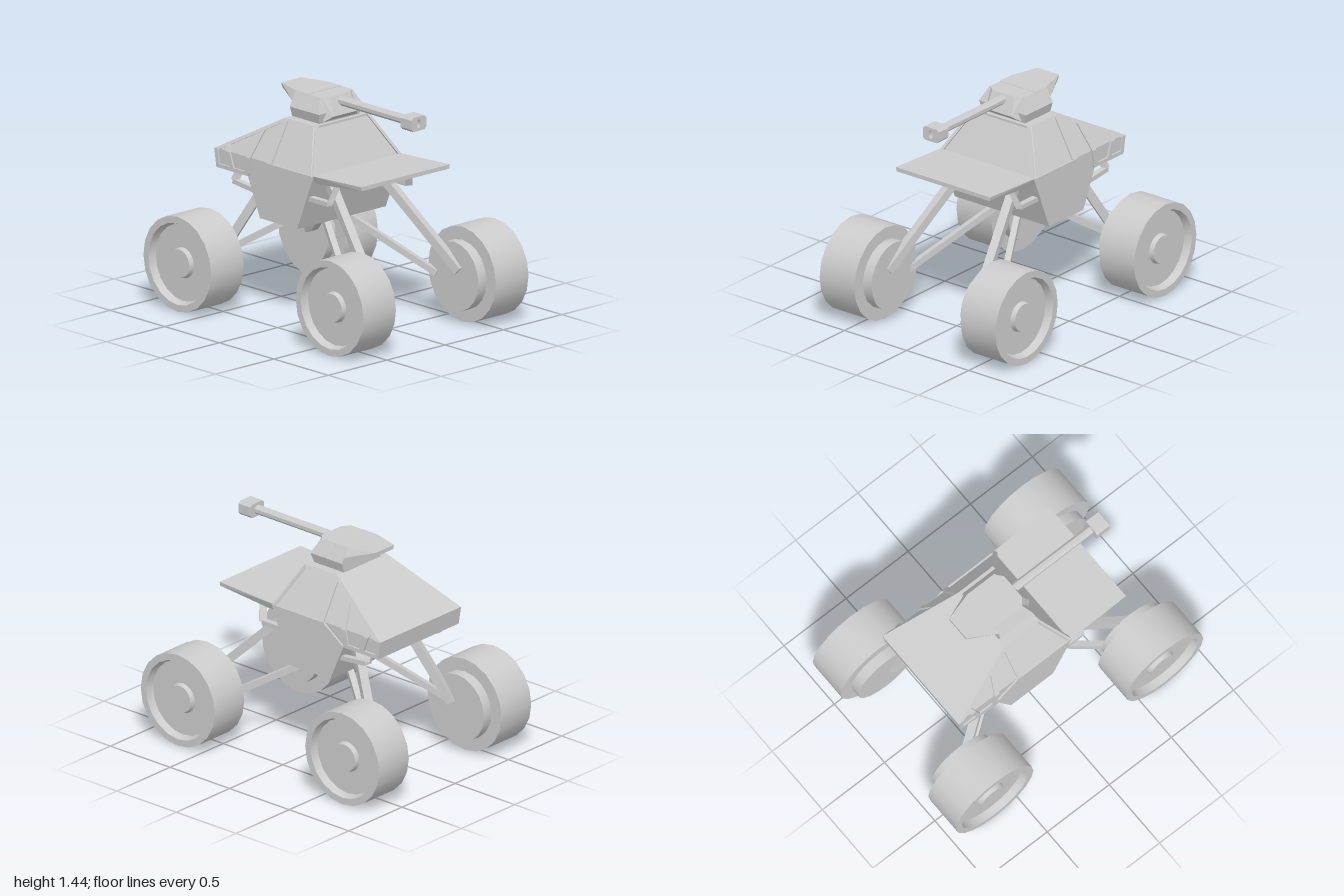
import * as THREE from 'three';
import { toCreasedNormals } from 'three/addons/utils/BufferGeometryUtils.js';
import { ConvexGeometry } from 'three/addons/geometries/ConvexGeometry.js';

const grey = new THREE.MeshStandardMaterial({ color: 0xcccccc });
const V = (x, y, z) => new THREE.Vector3(x, y, z);

export function createModel() {
  const model = new THREE.Group();
  const add = (name, geometry, parent = model) => {
    const mesh = new THREE.Mesh(geometry, grey);
    mesh.name = name;
    parent.add(mesh);
    return mesh;
  };

  // convex solid from points of one half, mirrored across z
  const solid = (name, half) =>
    add(name, new ConvexGeometry(half.flatMap(([x, y, z]) => [V(x, y, z), V(x, y, -z)])));

  // square bar between two points
  const bar = (name, a, b, w, h = w, parent = model) => {
    const mesh = add(name, new THREE.BoxGeometry(w, h, a.distanceTo(b)), parent);
    mesh.position.copy(a).lerp(b, 0.5);
    mesh.lookAt(b);
    return mesh;
  };

  // lower hull and inset cabin
  const inset = 0.012;
  const sideZ = (y) => 0.38 - 0.555 * Math.max(0, y - 1);
  solid('lowerHull', [[-0.4, 0.88], [-0.29, 0.63], [0.05, 0.63], [0.2, 1], [-0.23, 1]].map(([x, y]) => [x, y, 0.38]));
  solid('cabin', [[-0.69, 0.88], [-0.4, 0.88], [-0.71, 1], [-0.22, 1.27], [0.05, 1.27], [0.185, 1]]
    .map(([x, y]) => [x, y, sideZ(y) - inset]));

  // window frames: flat pieces in side elevation, draped over the cabin side
  const frames = [
    [[-0.71, 1], [-0.22, 1.27], [-0.22, 1.245], [-0.665, 1]],
    [[-0.22, 1.27], [0.06, 1.27], [0.06, 1.255], [-0.22, 1.255]],
    [[-0.235, 1.26], [-0.19, 1.27], [-0.19, 1], [-0.23, 1]],
    [[0.06, 1.27], [0.2, 1], [0.182, 1], [0.043, 1.27]],
    [[-0.375, 1.18], [-0.345, 1.195], [-0.383, 1], [-0.418, 1]],
    [[-0.418, 1], [-0.383, 1], [-0.4, 0.89], [-0.44, 0.89]],
    [[-0.63, 1.035], [-0.595, 1.055], [-0.57, 1], [-0.605, 1]],
    [[-0.605, 1], [-0.57, 1], [-0.53, 0.89], [-0.565, 0.89]],
    [[-0.69, 0.88], [-0.4, 0.88], [-0.39, 0.905], [-0.685, 0.905]],
    [[-0.71, 1], [-0.69, 0.88], [-0.665, 0.88], [-0.68, 1]],
  ];
  const windowFrames = new THREE.Group();
  windowFrames.name = 'windowFrames';
  model.add(windowFrames);
  for (const side of [1, -1]) {
    for (const frame of frames) {
      const shape = new THREE.Shape(frame.map(([x, y]) => new THREE.Vector2(x, y)));
      const g = new THREE.ExtrudeGeometry(shape, { depth: 2 * inset, bevelEnabled: false });
      if (side < 0) g.translate(0, 0, -2 * inset);
      const p = g.attributes.position;
      for (let i = 0; i < p.count; i++) {
        p.setZ(i, p.getZ(i) + side * (sideZ(p.getY(i)) - 2 * inset));
      }
      g.computeVertexNormals();
      add('windowFrame', g, windowFrames);
    }
    bar('windscreenPillar', V(0.047, 1.262, side * 0.222), V(0.185, 0.99, side * 0.37), 0.022, 0.022, windowFrames);
  }
  bar('windscreenHeader', V(0.046, 1.262, -0.225), V(0.046, 1.262, 0.225), 0.022, 0.016, windowFrames);

  // flat front deck
  solid('frontDeck', [[0.16, 0.96, 0.36], [0.19, 1.005, 0.38], [0.637, 1.027, 0.38], [0.637, 1, 0.375], [0.25, 0.957, 0.36]]);

  // turret, with a rear overhang
  solid('turret', [[-0.22, 1.27, 0.17], [0.03, 1.27, 0.17], [-0.22, 1.335, 0.19], [0.045, 1.335, 0.19],
    [-0.22, 1.43, 0.14], [0.0, 1.43, 0.14]]);
  solid('turretOverhang', [[-0.41, 1.432, 0.085], [-0.41, 1.405, 0.08], [-0.22, 1.432, 0.14], [-0.22, 1.37, 0.17],
    [-0.1, 1.432, 0.14], [-0.1, 1.37, 0.14]]);
  solid('gunMantlet', [[0, 1.43, 0.13], [0.035, 1.43, 0.09], [0.085, 1.315, 0.1], [0.04, 1.28, 0.14], [0, 1.28, 0.16]]);

  // gun barrel and slotted muzzle
  const barrel = new THREE.CylinderGeometry(0.03, 0.03, 0.64, 8, 1).toNonIndexed();
  barrel.rotateY(Math.PI / 8).rotateZ(-Math.PI / 2).computeVertexNormals();
  add('gunBarrel', barrel).position.set(0.35, 1.393, 0);
  const muzzle = new THREE.Shape([[-0.063, -0.03], [-0.048, -0.046], [0.048, -0.046], [0.063, -0.03],
    [0.063, 0.03], [0.048, 0.046], [-0.048, 0.046], [-0.063, 0.03]].map(([x, y]) => new THREE.Vector2(x, y)));
  const slot = new THREE.Path();
  slot.absellipse(0, 0, 0.016, 0.028, 0, Math.PI * 2);
  muzzle.holes.push(slot);
  const muzzleGeometry = new THREE.ExtrudeGeometry(muzzle, { depth: 0.1, bevelEnabled: false, curveSegments: 8 });
  muzzleGeometry.rotateY(Math.PI / 2);
  add('muzzle', muzzleGeometry).position.set(0.66, 1.393, 0);

  // wheel profile: inner drum, tyre, recessed rim and hub cap
  const profile = [[0, 0], [0.225, 0], [0.225, 0.07], [0.31, 0.07], [0.31, 0.35], [0.265, 0.35],
    [0.25, 0.3], [0.1, 0.3], [0.09, 0.33], [0, 0.33]].map(([r, h]) => new THREE.Vector2(r, h));
  const wheel = toCreasedNormals(new THREE.LatheGeometry(profile, 20), 0.6);

  for (const side of [1, -1]) {
    for (const end of [1, -1]) {
      const front = end > 0;
      const place = front ? 'front' : 'rear';
      const w = add(place + 'Wheel', wheel);
      w.rotation.x = side * Math.PI / 2;
      w.position.set(front ? 0.69 : -0.69, 0.312, side * (front && side > 0 ? 0.35 : 0.365));

      // suspension: heavy upper arm and thin lower link
      const top = front ? V(0.15, 0.94, side * 0.2) : V(-0.33, 0.92, side * 0.2);
      const foot = front ? V(0.74, 0.36, side * 0.365) : V(-0.645, 0.34, side * 0.365);
      bar(place + 'UpperArm', top, foot, 0.055);
      const low = front ? V(-0.02, 0.64, side * 0.08) : V(-0.18, 0.645, side * 0.1);
      const lowFoot = front ? V(0.53, 0.3, side * 0.37) : V(-0.6, 0.355, side * 0.37);
      bar(place + 'LowerLink', low, lowFoot, 0.04);

      // bent bracket under the deck or tail
      const path = front
        ? [V(0.345, 0.97, side * 0.3), V(0.305, 0.84, side * 0.34), V(0.13, 0.84, side * 0.34)]
        : [V(-0.55, 0.89, side * 0.3), V(-0.565, 0.81, side * 0.34), V(-0.33, 0.785, side * 0.34)];
      bar(place + 'Bracket', path[0], path[1], 0.045, 0.035);
      bar(place + 'Bracket', path[1], path[2], 0.04, 0.03);
    }
  }
  return model;
}
